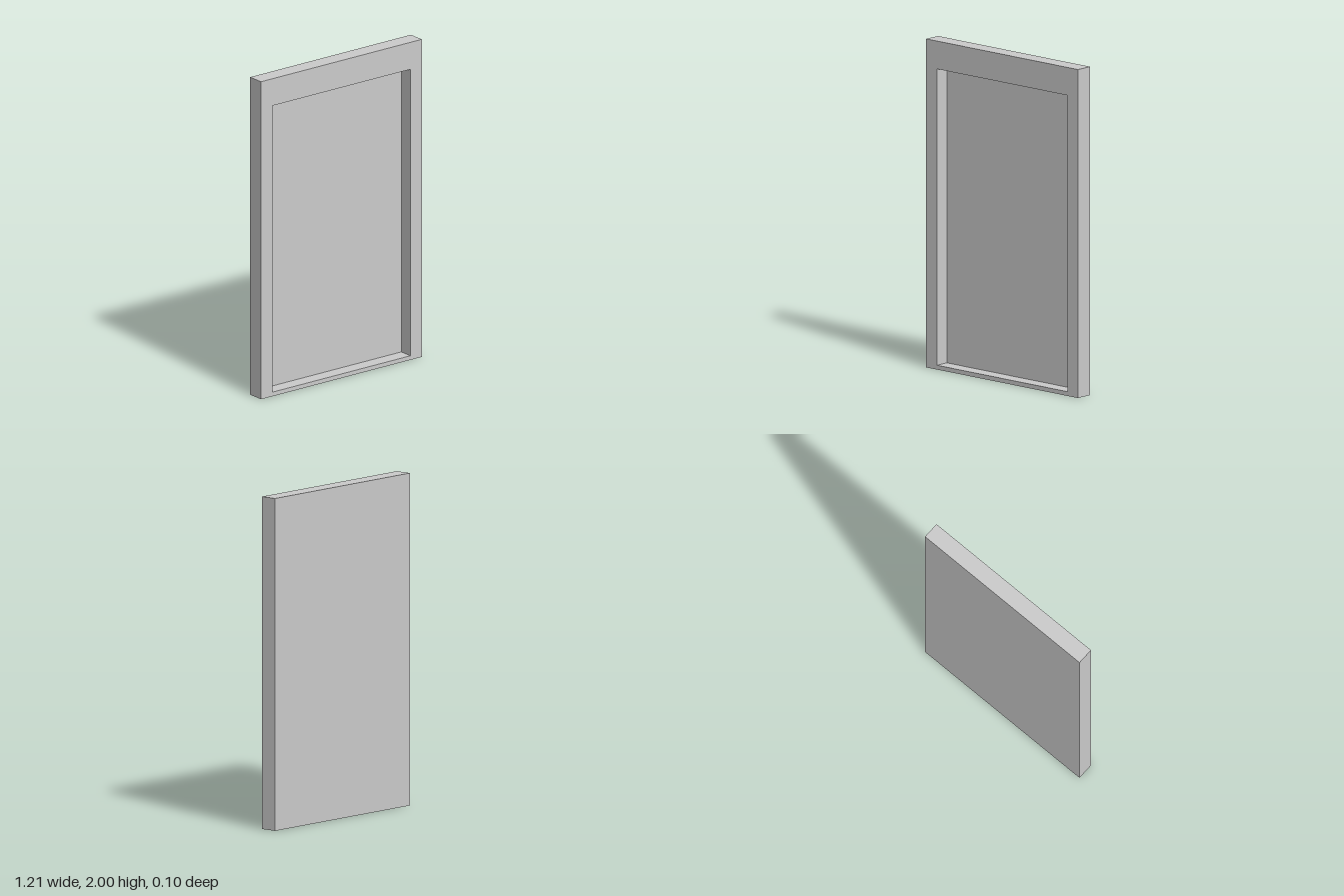
import * as THREE from 'three';

const WIDTH = 1.214, HEIGHT = 2, DEPTH = 0.104;
const RECESS = 0.087; // depth of the opening
const OPENING = { halfWidth: 0.521, bottom: 0.026, top: 1.83 };

// Traces a rectangle on a Shape or Path
function rectangle(path, halfWidth, bottom, top) {
  path.moveTo(-halfWidth, bottom);
  path.lineTo(halfWidth, bottom);
  path.lineTo(halfWidth, top);
  path.lineTo(-halfWidth, top);
  path.closePath();
  return path;
}

export function createModel() {
  const group = new THREE.Group();
  group.name = 'shallowTray';
  const material = new THREE.MeshStandardMaterial({ color: 0xcccccc });

  // Frame with a wide top rail, medium sides and a thin bottom lip
  const outline = rectangle(new THREE.Shape(), WIDTH / 2, 0, HEIGHT);
  outline.holes.push(rectangle(new THREE.Path(), OPENING.halfWidth, OPENING.bottom, OPENING.top));
  const frame = new THREE.Mesh(
    new THREE.ExtrudeGeometry(outline, { depth: RECESS, bevelEnabled: false }), material);
  frame.name = 'frame';
  frame.position.z = DEPTH / 2 - RECESS;

  // Thin panel closing the back
  const thickness = DEPTH - RECESS;
  const backPanel = new THREE.Mesh(new THREE.BoxGeometry(WIDTH, HEIGHT, thickness), material);
  backPanel.name = 'backPanel';
  backPanel.position.set(0, HEIGHT / 2, -DEPTH / 2 + thickness / 2);

  group.add(frame, backPanel);
  return group;
}
